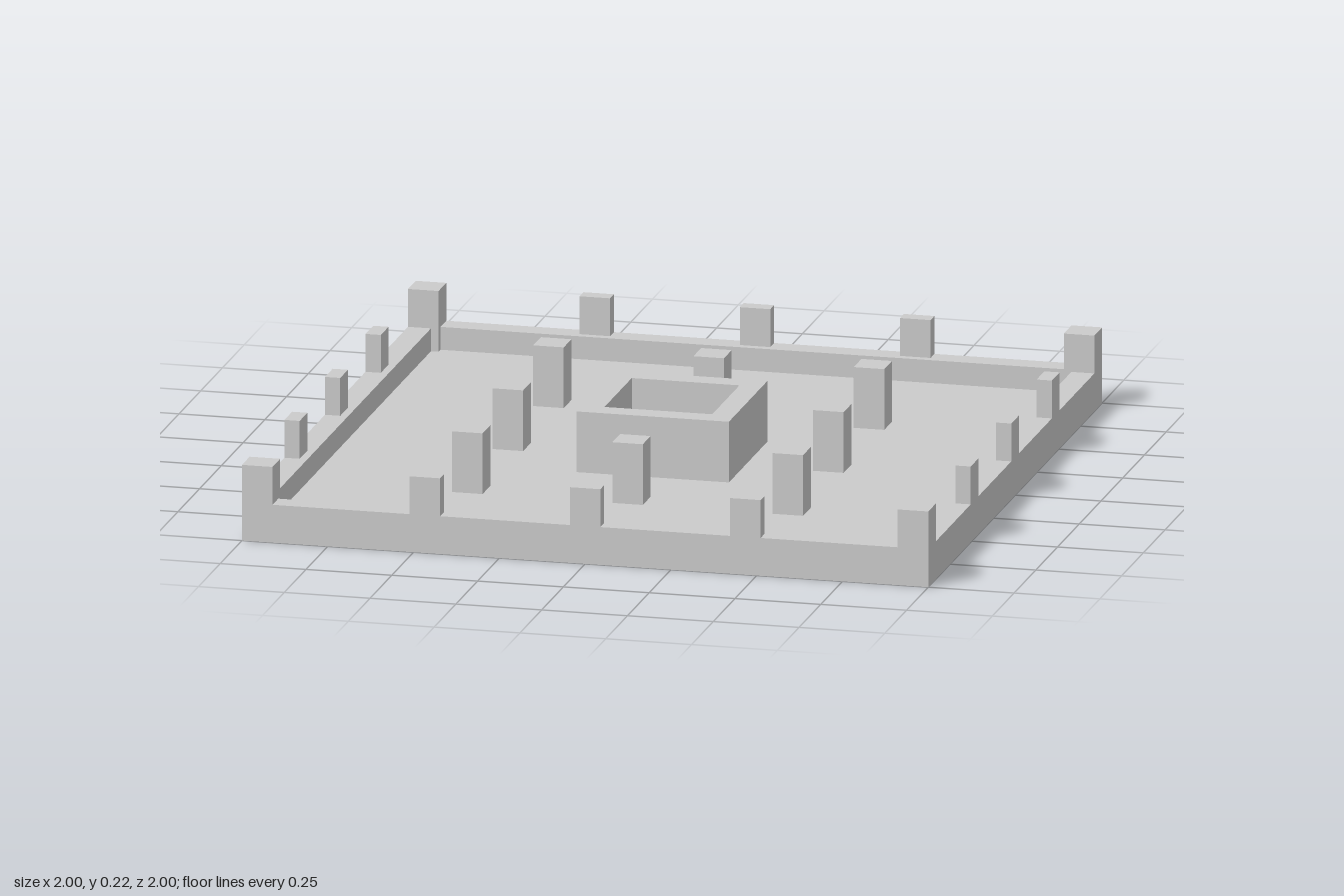
import * as THREE from 'three';

const FLOOR = 0.044;   // floor thickness
const WALL = 0.111;    // rim height
const TOP = 0.222;     // post and shaft height
const POST = 0.089;    // post width
const PITCH = 0.467;   // post spacing
const RIM = 0.933;     // inner face of the rim
const HOLE = 0.157;    // half width of the shaft opening
const SHAFT = 0.222;   // half width of the shaft

const material = new THREE.MeshStandardMaterial({ color: 0xcccccc, flatShading: true });

function add(group, name, geometry, x = 0, y = 0, z = 0) {
  const mesh = new THREE.Mesh(geometry, material);
  mesh.name = name;
  mesh.position.set(x, y, z);
  group.add(mesh);
}

const square = (h) => [[-h, -h], [h, -h], [h, h], [-h, h]];
const points = (list) => list.map(([x, y]) => new THREE.Vector2(x, y));

// Plan outline with one opening, raised from y0 to y1
function frame(outer, inner, y0, y1) {
  const shape = new THREE.Shape(points(outer));
  shape.holes.push(new THREE.Path(points(inner).reverse()));
  const geometry = new THREE.ExtrudeGeometry(shape, { depth: y1 - y0, bevelEnabled: false });
  return geometry.rotateX(-Math.PI / 2).translate(0, y0, 0);
}

// Box standing on y0
function post(group, name, x, z, w, d, y0) {
  add(group, name, new THREE.BoxGeometry(w, TOP - y0, d), x, (TOP + y0) / 2, z);
}

export function createModel() {
  const model = new THREE.Group();
  model.name = 'platform';

  // Floor slab with the square opening
  add(model, 'floor', frame(square(1), square(HOLE), 0, FLOOR));

  // Low rim, its inner corners thickened to carry the corner posts
  const c = 1 - POST;
  const notched = [
    [-c, -RIM], [c, -RIM], [c, -c], [RIM, -c], [RIM, c], [c, c],
    [c, RIM], [-c, RIM], [-c, c], [-RIM, c], [-RIM, -c], [-c, -c],
  ];
  add(model, 'rim', frame(square(1), notched, FLOOR, WALL));

  // Raised walls around the central opening
  add(model, 'centralShaft', frame(square(SHAFT), square(HOLE), FLOOR, TOP));

  // Corner posts
  for (const sx of [-1, 1]) {
    for (const sz of [-1, 1]) {
      post(model, 'cornerPost', sx * (1 - POST / 2), sz * (1 - POST / 2), POST, POST, WALL);
    }
  }

  // Half-depth posts along each side of the rim
  const edge = 1 - POST / 4;
  for (const i of [-1, 0, 1]) {
    for (const s of [-1, 1]) {
      post(model, 'edgePost', i * PITCH, s * edge, POST, POST / 2, WALL);
      post(model, 'edgePost', s * edge, i * PITCH, POST / 2, POST, WALL);
    }
  }

  // Free-standing posts around the shaft
  for (const i of [-1, 0, 1]) {
    for (const j of [-1, 0, 1]) {
      if (i || j) post(model, 'innerPost', i * PITCH, j * PITCH, POST, POST, FLOOR);
    }
  }

  return model;
}
